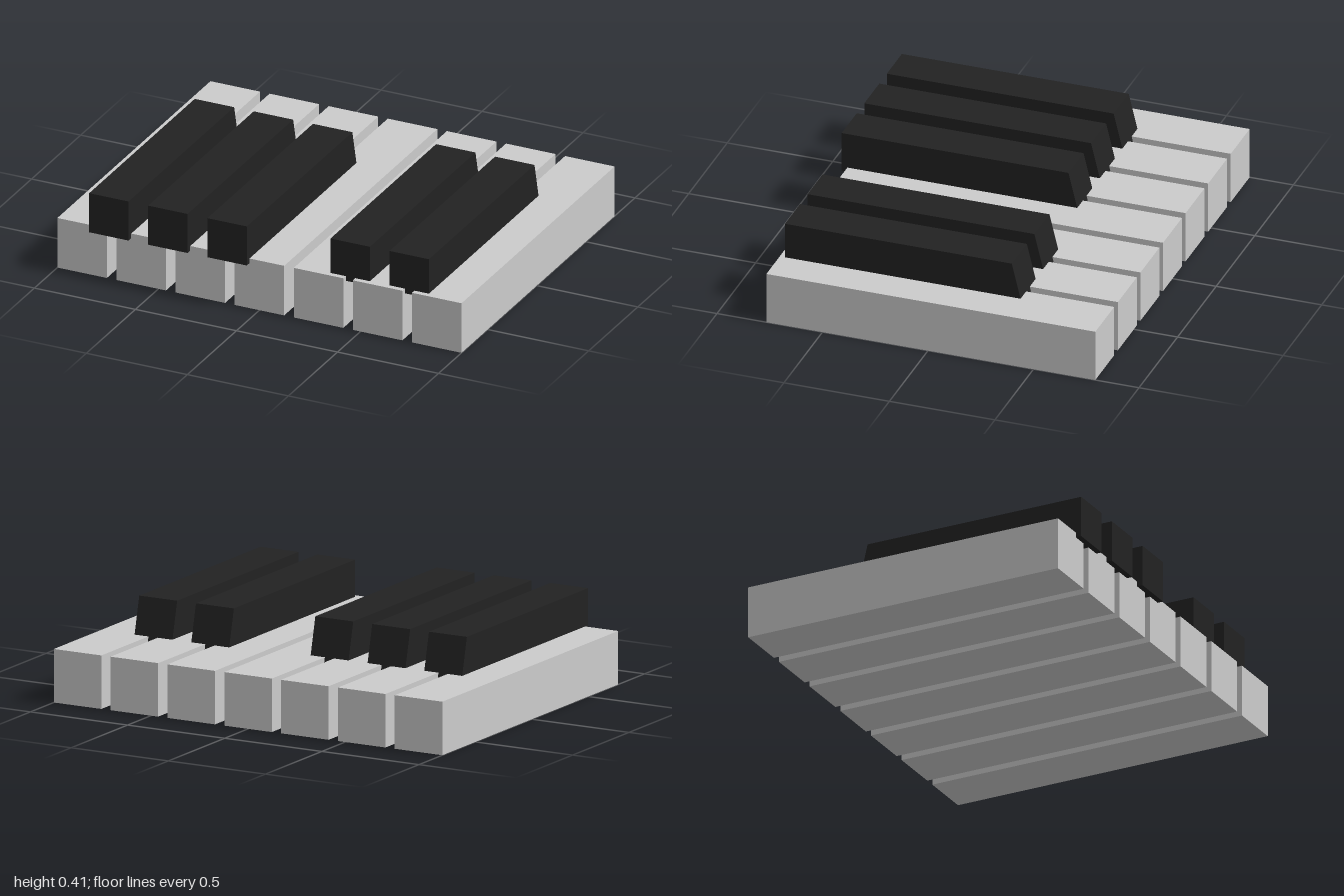
import * as THREE from 'three';

const KEY_W = 0.245, KEY_H = 0.245, PITCH = 0.2925;
const BACK = -0.793, FRONT = 0.766;
const SHARP_W = 0.195, SHARP_Y0 = 0.222, SHARP_Y1 = 0.415, SHARP_LEN = 1.122, SLOPE = 0.047;

export function createModel() {
  const model = new THREE.Group();
  model.name = 'pianoOctave';
  const light = new THREE.MeshStandardMaterial({ color: 0xcccccc, flatShading: true });
  const dark = new THREE.MeshStandardMaterial({ color: 0x222222, flatShading: true });

  // Seven natural keys, side by side with small gaps
  const naturalGeo = new THREE.BoxGeometry(KEY_W, KEY_H, FRONT - BACK);
  for (let i = 0; i < 7; i++) {
    const key = new THREE.Mesh(naturalGeo, light);
    key.name = `naturalKey${i + 1}`;
    key.position.set((i - 3) * PITCH, KEY_H / 2, (FRONT + BACK) / 2);
    model.add(key);
  }

  // Sharp key: box whose upper back edge is pulled forward into a slope
  const sharpH = SHARP_Y1 - SHARP_Y0;
  const sharpGeo = new THREE.BoxGeometry(SHARP_W, sharpH, SHARP_LEN);
  const p = sharpGeo.attributes.position;
  for (let i = 0; i < p.count; i++) {
    if (p.getY(i) > 0 && p.getZ(i) < 0) p.setZ(i, p.getZ(i) + SLOPE);
  }
  sharpGeo.computeVertexNormals();

  // Group of three at -x, group of two at +x set slightly further back
  const sharps = [[-0.732, 0.793], [-0.44, 0.793], [-0.147, 0.793], [0.437, 0.741], [0.729, 0.741]];
  sharps.forEach(([x, front], i) => {
    const key = new THREE.Mesh(sharpGeo, dark);
    key.name = `sharpKey${i + 1}`;
    key.position.set(x, (SHARP_Y0 + SHARP_Y1) / 2, front - SHARP_LEN / 2);
    model.add(key);
  });

  return model;
}
